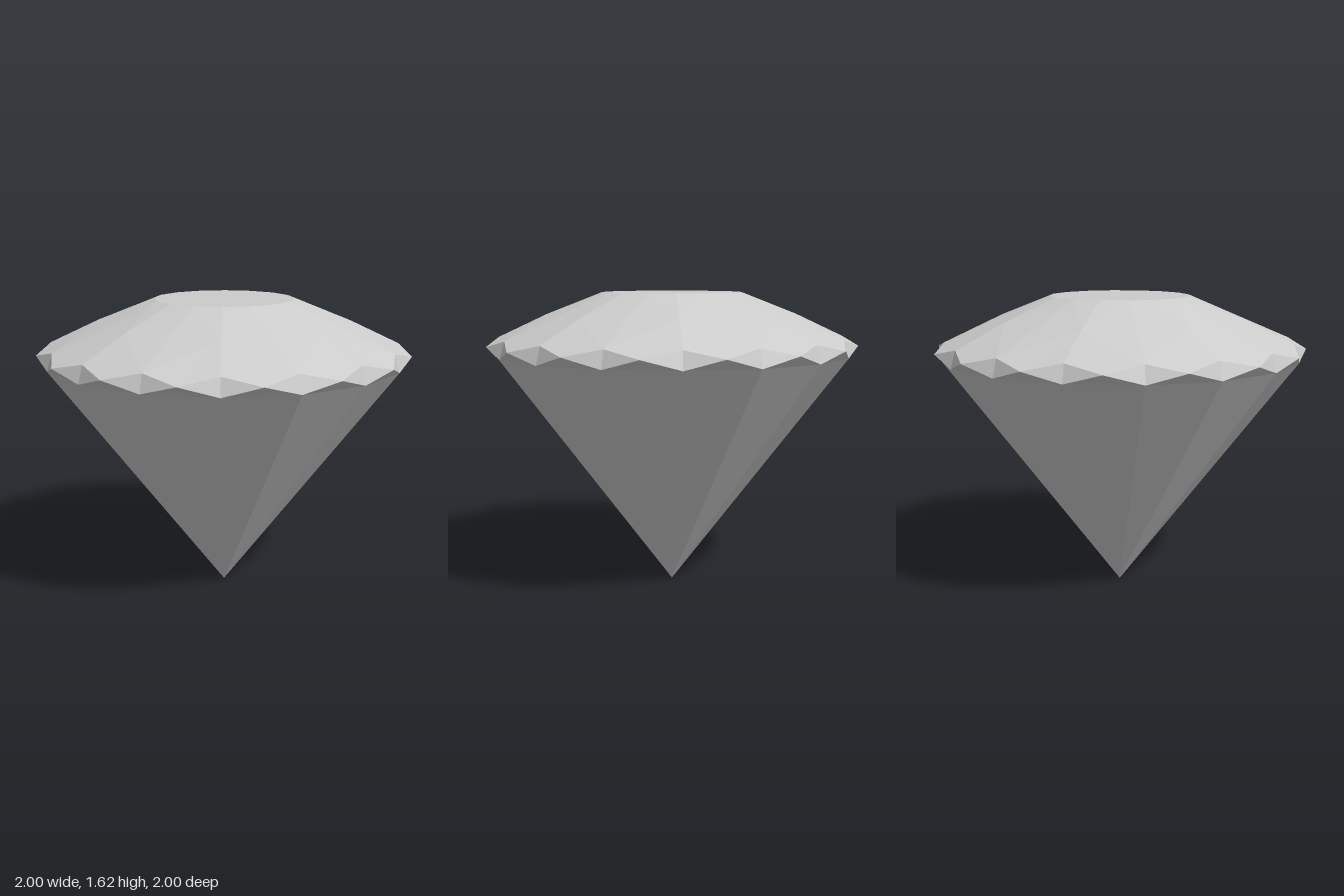
import * as THREE from 'three';

const N = 16;                          // girdle corners
const STEP = (Math.PI * 2) / N;
const TURN = THREE.MathUtils.degToRad(-5.2);

// Point on ring: k counts steps round the stone, halves lie between corners
const at = (k, r, y) => {
  const a = TURN + k * STEP;
  return [r * Math.cos(a), y, r * Math.sin(a)];
};

const corner = (k) => at(k, 1.004, 1.335);        // outer girdle corners
const upper = (k) => at(k + 0.5, 0.94, 1.375);    // top of girdle diamonds
const lower = (k) => at(k + 0.5, 0.968, 1.282);   // bottom of girdle diamonds
const middle = (k) => at(k + 0.5, 0.68, 1.497);   // crown star points (odd k)
const rim = (k) => at(k + 0.5, 0.378, 1.615);     // table edge
const apex = [0, 0, 0];

// Flat-shaded mesh from convex facets, each fanned from its first corner
function facets(name, list) {
  const positions = [];
  for (const f of list) {
    for (let i = 1; i < f.length - 1; i++) positions.push(...f[0], ...f[i], ...f[i + 1]);
  }
  const geometry = new THREE.BufferGeometry();
  geometry.setAttribute('position', new THREE.Float32BufferAttribute(positions, 3));
  geometry.computeVertexNormals();
  const material = new THREE.MeshStandardMaterial({ color: 0xcccccc, flatShading: true });
  const mesh = new THREE.Mesh(geometry, material);
  mesh.name = name;
  return mesh;
}

export function createModel() {
  const group = new THREE.Group();
  group.name = 'cutGem';
  const table = [], crown = [], girdle = [], pavilion = [];

  for (let k = 0; k < N; k++) {
    // Flat top
    table.push([[0, 1.615, 0], rim(k + 1), rim(k)]);
    // Girdle diamonds
    girdle.push([lower(k), corner(k), upper(k), corner(k + 1)]);
    // Long lower facets with pointed upper ends
    pavilion.push([lower(k), lower(k + 1), apex]);
    pavilion.push([lower(k), corner(k + 1), lower(k + 1)]);
  }

  for (let k = 0; k < N; k += 2) {
    const m = middle(k + 1);
    // Main kite
    crown.push([upper(k), middle(k - 1), rim(k), m]);
    // Pair of star facets beside the table
    crown.push([m, rim(k), rim(k + 1)], [m, rim(k + 1), rim(k + 2)]);
    // Pair of facets above the girdle
    crown.push([corner(k + 1), upper(k), m, upper(k + 1)]);
    crown.push([corner(k + 2), upper(k + 1), m, upper(k + 2)]);
  }

  group.add(
    facets('table', table),
    facets('crown', crown),
    facets('girdle', girdle),
    facets('pavilion', pavilion.map((f) => (f[2] === apex ? [apex, f[0], f[1]] : f))),
  );
  return group;
}
